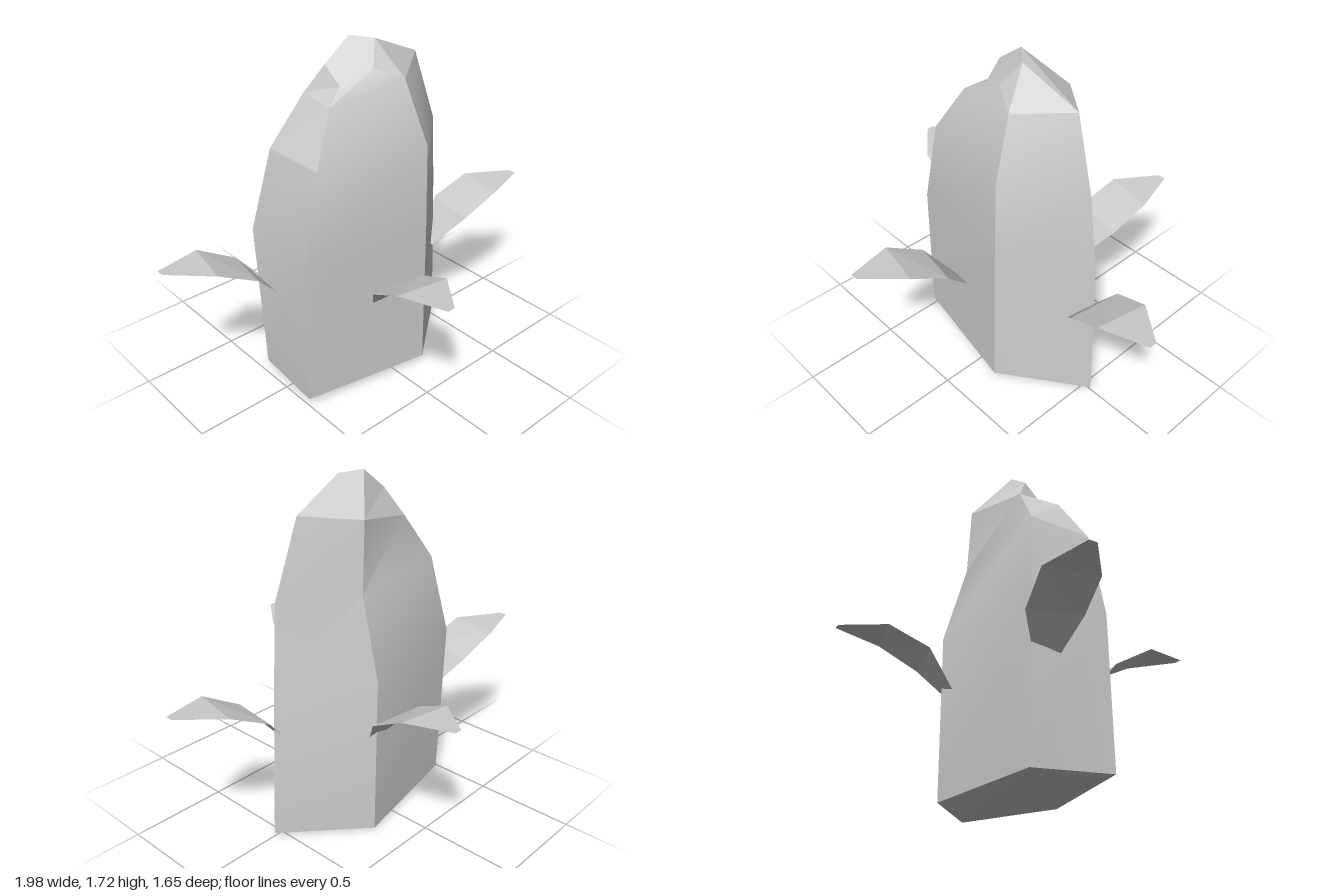
import * as THREE from 'three';
import { toCreasedNormals } from 'three/addons/utils/BufferGeometryUtils.js';

// Fan-triangulate a list of polygons into one geometry
function fromPolygons(polygons, creaseAngle) {
  const pos = [];
  for (const p of polygons)
    for (let i = 1; i < p.length - 1; i++) pos.push(...p[0], ...p[i], ...p[i + 1]);
  const g = new THREE.BufferGeometry();
  g.setAttribute('position', new THREE.Float32BufferAttribute(pos, 3));
  g.computeVertexNormals();
  return creaseAngle ? toCreasedNormals(g, creaseAngle) : g;
}

export function createModel() {
  const model = new THREE.Group();
  const stone = new THREE.MeshStandardMaterial({ color: 0xcccccc });
  stone.name = 'paleGrey';
  stone.side = THREE.DoubleSide;

  // Five-cornered rings: front left, front right, right, back, back left
  const rings = [
    [[-0.5, 0.04, 0.185], [0.155, 0.04, 0.31], [0.55, 0.015, 0], [0.17, 0, -0.315], [-0.46, 0.025, -0.21]],
    [[-0.495, 0.78, 0.18], [0.16, 0.8, 0.295], [0.52, 0.8, -0.005], [0.165, 0.8, -0.32], [-0.5, 0.83, -0.21]],
    [[-0.4, 1.23, 0.165], [0.16, 1.23, 0.28], [0.48, 1.2, 0.01], [0.15, 1.2, -0.21], [-0.41, 1.24, -0.16]],
    [[-0.26, 1.47, 0.09], [0.12, 1.53, 0.165], [0.36, 1.57, -0.015], [0.13, 1.54, -0.2], [-0.24, 1.475, -0.12]],
  ];
  const [fl, fr, r, b, bl] = rings[3];
  // Peak corners
  const notch = [-0.16, 1.53, 0.04], brow = [-0.01, 1.59, 0.095];
  const peakRight = [0.06, 1.7, 0.025], peak = [-0.03, 1.715, -0.05], shoulder = [-0.17, 1.61, -0.05];

  // Side panels, smooth along their height; the sloping left panel is kept flat
  const sides = [], facets = [];
  for (let k = 0; k < 3; k++)
    for (let i = 0; i < 5; i++) {
      const j = (i + 1) % 5;
      const quad = [rings[k][i], rings[k][j], rings[k + 1][j], rings[k + 1][i]];
      (k === 2 && i === 4 ? facets : sides).push(quad);
    }
  sides.push([fl, fr, brow, notch], [notch, brow, peakRight, peak, shoulder]);

  // Flat facets of the peak and the underside
  facets.push(
    [fr, r, peakRight, brow],
    [r, b, peak, peakRight],
    [b, bl, shoulder, peak],
    [bl, fl, notch, shoulder],
    [...rings[0]].reverse(),
  );

  const add = (name, geometry) => {
    const mesh = new THREE.Mesh(geometry, stone);
    mesh.name = name;
    model.add(mesh);
    return mesh;
  };
  add('trunkSides', fromPolygons(sides, 0.7));
  add('peakAndBase', fromPolygons(facets));

  // Leaf: paired edge points from stem to tip
  const rows = [
    [[-0.16, 0.497, 0.27], [-0.065, 0.505, 0.285]],
    [[-0.275, 0.66, 0.39], [-0.01, 0.675, 0.44]],
    [[-0.31, 0.765, 0.58], [-0.05, 0.765, 0.63]],
    [[-0.245, 0.78, 0.82], [-0.205, 0.78, 0.82]],
  ];
  const leafQuads = rows.slice(1).map((row, i) => [row[0], row[1], rows[i][1], rows[i][0]]);
  const leaf = fromPolygons(leafQuads);

  // One leaf per side: name, quarter turns, x and z shift
  const leaves = [
    ['frontLeaf', 0, 0, 0],
    ['leftLeaf', 1, 0.17, -0.08],
    ['backLeaf', 2, 0.015, -0.01],
    ['rightLeaf', 3, -0.17, -0.01],
  ];
  for (const [name, turns, x, z] of leaves) {
    const mesh = add(name, leaf);
    mesh.rotation.y = turns * Math.PI / 2;
    mesh.position.set(x, 0, z);
  }
  return model;
}
